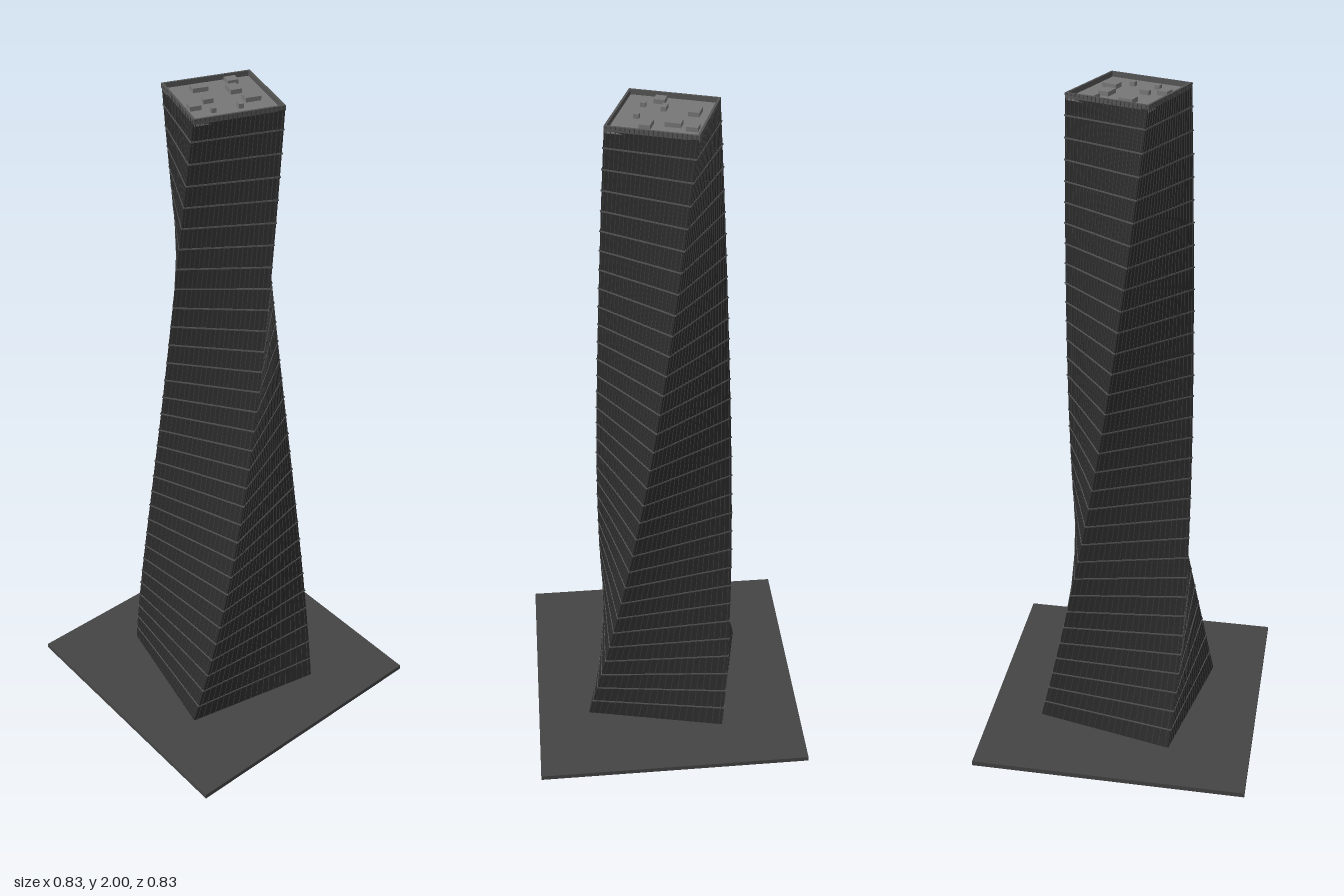
import * as THREE from 'three';
import { mergeGeometries } from 'three/addons/utils/BufferGeometryUtils.js';

const BASE = 0.012, TOP = 2, ROOF = 1.986, FLOORS = 32, MULLIONS = 20, STEPS = 96;
const deg = Math.PI / 180;

// Half side and rotation of the square plan at height y
const halfSide = (y) => (0.172 + 0.134 * Math.pow(Math.max(0, 1 - y / TOP), 2.2)) / Math.SQRT2;
const twist = (y) => (12.9 - 83.6 * (y / TOP)) * deg;

// Open strip swept up the tower; section(s) gives [x, z] points on the side facing +z
function sweep(section, side, steps) {
  const pos = [], idx = [];
  let n = 0;
  for (let i = 0; i <= steps; i++) {
    const y = BASE + ((TOP - BASE) * i) / steps;
    const a = twist(y) + (side * Math.PI) / 2;
    const c = Math.cos(a), s = Math.sin(a);
    const pts = section(halfSide(y));
    n = pts.length;
    for (const [x, z] of pts) pos.push(x * c - z * s, y, x * s + z * c);
  }
  for (let i = 0; i < steps; i++) {
    for (let j = 0; j < n - 1; j++) {
      const a = i * n + j, b = a + 1, d = a + n, e = d + 1;
      idx.push(a, b, d, b, e, d);
    }
  }
  const g = new THREE.BufferGeometry();
  g.setAttribute('position', new THREE.Float32BufferAttribute(pos, 3));
  g.setIndex(idx);
  g.computeVertexNormals();
  return g;
}

export function createModel() {
  const group = new THREE.Group();
  const mat = (color, extra = {}) => new THREE.MeshStandardMaterial({ color, ...extra });
  const glass = mat(0x2c2c2c, { side: THREE.DoubleSide });
  const frame = mat(0x3a3a3a, { flatShading: true });
  const slab = mat(0x555555);
  const roofGrey = mat(0x777777);
  const add = (name, geometry, material) => {
    const m = new THREE.Mesh(geometry, material);
    m.name = name;
    group.add(m);
    return m;
  };

  // Square plaza
  add('plaza', new THREE.BoxGeometry(0.834, 0.015, 0.834), mat(0x444444)).position.y = 0.0075;

  // Twisting glass walls and the mullions running up them
  const walls = [], mullions = [];
  for (let side = 0; side < 4; side++) {
    walls.push(sweep((s) => Array.from({ length: 9 }, (_, j) => [s * (j / 4 - 1), s]), side, STEPS));
    for (let m = 0; m < MULLIONS; m++) {
      const u = (2 * (m + 0.5)) / MULLIONS - 1, w = 0.0011, d = 0.0015;
      mullions.push(sweep((s) => [
        [u * s - w, s], [u * s - w, s + d], [u * s + w, s + d], [u * s + w, s],
      ], side, 48));
    }
  }
  add('glassWalls', mergeGeometries(walls), glass);
  add('mullions', mergeGeometries(mullions), frame);

  // Floor edges, each turned with the tower
  const floors = [];
  for (let i = 1; i < FLOORS; i++) {
    const y = BASE + ((TOP - BASE) * i) / FLOORS;
    const w = 2 * halfSide(y) + 0.004;
    floors.push(new THREE.BoxGeometry(w, 0.004, w).rotateY(-twist(y)).translate(0, y, 0));
  }
  add('floorEdges', mergeGeometries(floors), slab);

  // Roof deck set below a thin parapet
  const s = halfSide(TOP), turn = -twist(TOP);
  const deck = add('roofDeck', new THREE.BoxGeometry(2 * s - 0.002, 0.006, 2 * s - 0.002), roofGrey);
  deck.position.y = ROOF - 0.003;
  deck.rotation.y = turn;

  const square = (h) => [[-h, -h], [h, -h], [h, h], [-h, h]].map(([x, y]) => new THREE.Vector2(x, y));
  const rim = new THREE.Shape(square(s + 0.001));
  rim.holes.push(new THREE.Path(square(s - 0.005)));
  const parapetGeo = new THREE.ExtrudeGeometry(rim, { depth: TOP - ROOF, bevelEnabled: false });
  parapetGeo.rotateX(-Math.PI / 2).rotateY(turn).translate(0, ROOF, 0);
  add('parapet', parapetGeo, slab);

  // Rooftop plant: x, z, width, depth
  const units = [
    [-0.067, -0.086, 0.03, 0.03], [-0.022, -0.055, 0.042, 0.03],
    [0.048, -0.055, 0.03, 0.042], [0.068, -0.001, 0.015, 0.014],
    [-0.083, 0.01, 0.03, 0.042], [-0.007, 0.043, 0.014, 0.027],
    [0.045, 0.069, 0.014, 0.014], [-0.001, 0.093, 0.03, 0.03],
  ];
  const boxes = units.map(([x, z, w, d]) =>
    new THREE.BoxGeometry(w, 0.012, d).rotateY(-19.3 * deg).translate(x, ROOF + 0.006, z));
  add('rooftopUnits', mergeGeometries(boxes), roofGrey);

  return group;
}
